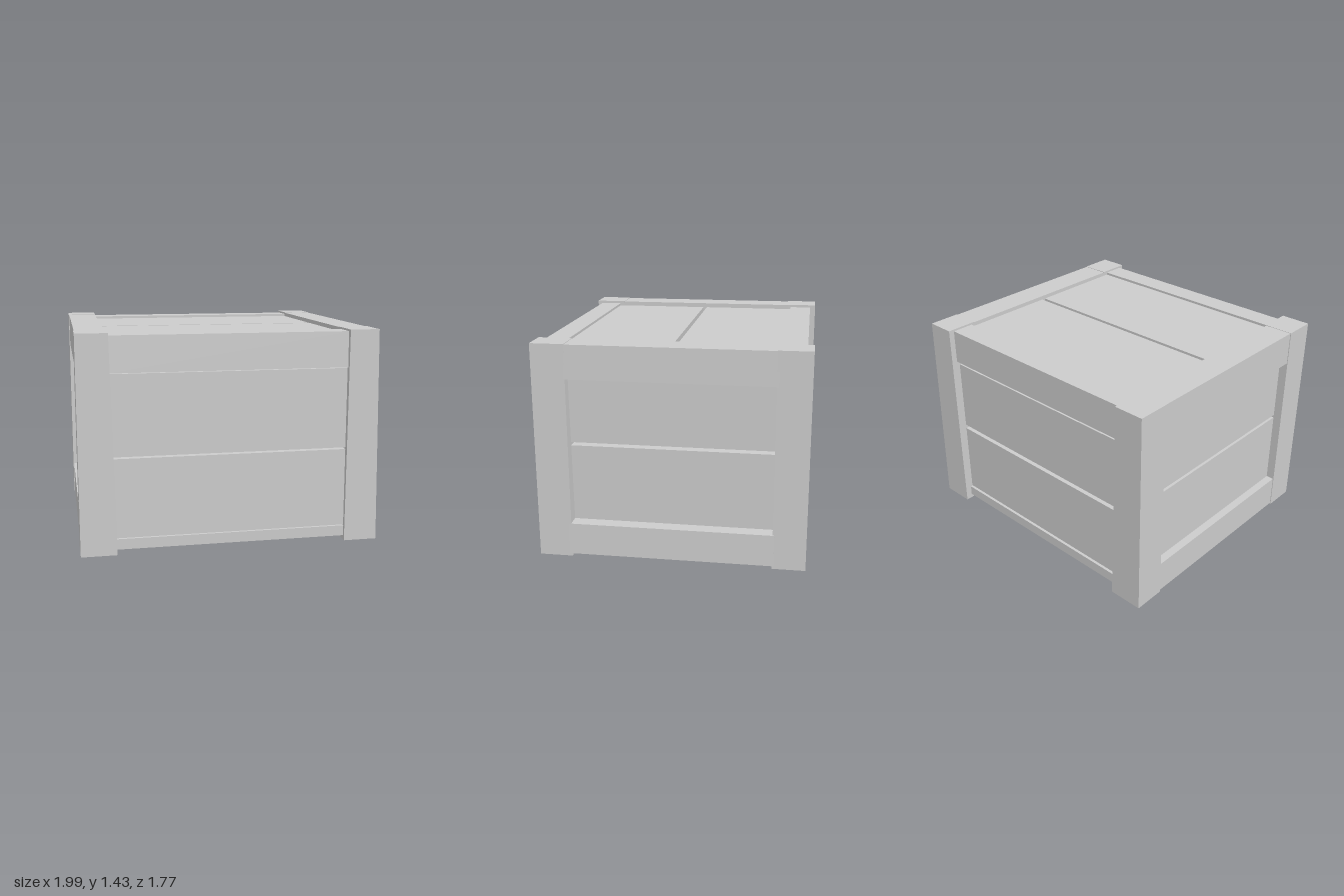
import * as THREE from 'three';

const material = new THREE.MeshStandardMaterial({ color: 0xcccccc, flatShading: true });

// Beam between heights y0 and y1; bottom and top are [x0, x1, z0, z1]
function beam(name, y0, y1, bottom, top = bottom) {
  const geometry = new THREE.BoxGeometry(1, 1, 1);
  const p = geometry.attributes.position;
  for (let i = 0; i < p.count; i++) {
    const up = p.getY(i) > 0;
    const r = up ? top : bottom;
    p.setXYZ(i, r[p.getX(i) > 0 ? 1 : 0], up ? y1 : y0, r[p.getZ(i) > 0 ? 3 : 2]);
  }
  geometry.computeVertexNormals();
  const mesh = new THREE.Mesh(geometry, material);
  mesh.name = name;
  return mesh;
}

export function createModel() {
  const crate = new THREE.Group();
  crate.name = 'woodenCrate';
  const add = (...args) => crate.add(beam(...args));

  // Corner posts, hand-cut with a slight lean
  for (const [end, bottomZ, topZ] of [
    ['front', [0.65, 0.87], [0.665, 0.885]],
    ['back', [-0.885, -0.67], [-0.885, -0.665]],
  ]) {
    add(end + 'RightPost', 0, 1.43, [-1, -0.765, ...bottomZ], [-1, -0.795, ...topZ]);
    add(end + 'LeftPost', 0, 1.425, [0.76, 0.985, ...bottomZ], [0.755, 0.95, ...topZ]);
  }

  // Side rails between the posts
  add('leftTopRail', 1.2, 1.422, [0.755, 0.957, -0.68, 0.67], [0.755, 0.948, -0.68, 0.67]);
  add('leftBottomRail', 0.02, 0.23, [0.76, 0.99, -0.68, 0.67], [0.76, 0.983, -0.68, 0.67]);
  add('rightTopRail', 1.2, 1.427, [-0.995, -0.8, -0.68, 0.67]);
  add('rightBottomRail', 0.008, 0.23, [-0.995, -0.77, -0.68, 0.67]);

  // Front and back rails
  add('frontTopRail', 1.178, 1.412, [-0.81, 0.77, 0.7, 0.858], [-0.81, 0.77, 0.7, 0.85]);
  add('backTopRail', 1.178, 1.412, [-0.81, 0.77, -0.845, -0.69]);
  add('frontBottomRail', 0.03, 0.1, [-0.79, 0.77, 0.7, 0.85]);
  add('backBottomRail', 0.03, 0.1, [-0.79, 0.77, -0.84, -0.69]);

  // Front and back boards, split by a narrow gap
  for (const [name, y0, y1] of [['Lower', 0.105, 0.629], ['Upper', 0.641, 1.172]]) {
    add('front' + name + 'Board', y0, y1, [-0.81, 0.77, 0.77, 0.845]);
  }
  for (const [name, y0, y1] of [['Lower', 0.105, 0.62], ['Upper', 0.65, 1.15]]) {
    add('back' + name + 'Board', y0, y1, [-0.81, 0.77, -0.825, -0.76]);
  }

  // Side boards, recessed behind the rails
  for (const [name, y0, y1] of [['Lower', 0.2, 0.743], ['Upper', 0.765, 1.215]]) {
    add('left' + name + 'Board', y0, y1, [0.82, 0.89, -0.69, 0.68]);
    add('right' + name + 'Board', y0, y1, [-0.94, -0.87, -0.69, 0.68]);
  }

  // Lid and floor boards
  for (const [name, z0, z1] of [['Front', 0.012, 0.71], ['Back', -0.7, -0.015]]) {
    add('lid' + name + 'Board', 1.33, 1.395, [-0.82, 0.77, z0, z1]);
    add('floor' + name + 'Board', 0.033, 0.095, [-0.8, 0.78, z0, z1]);
  }

  return crate;
}
